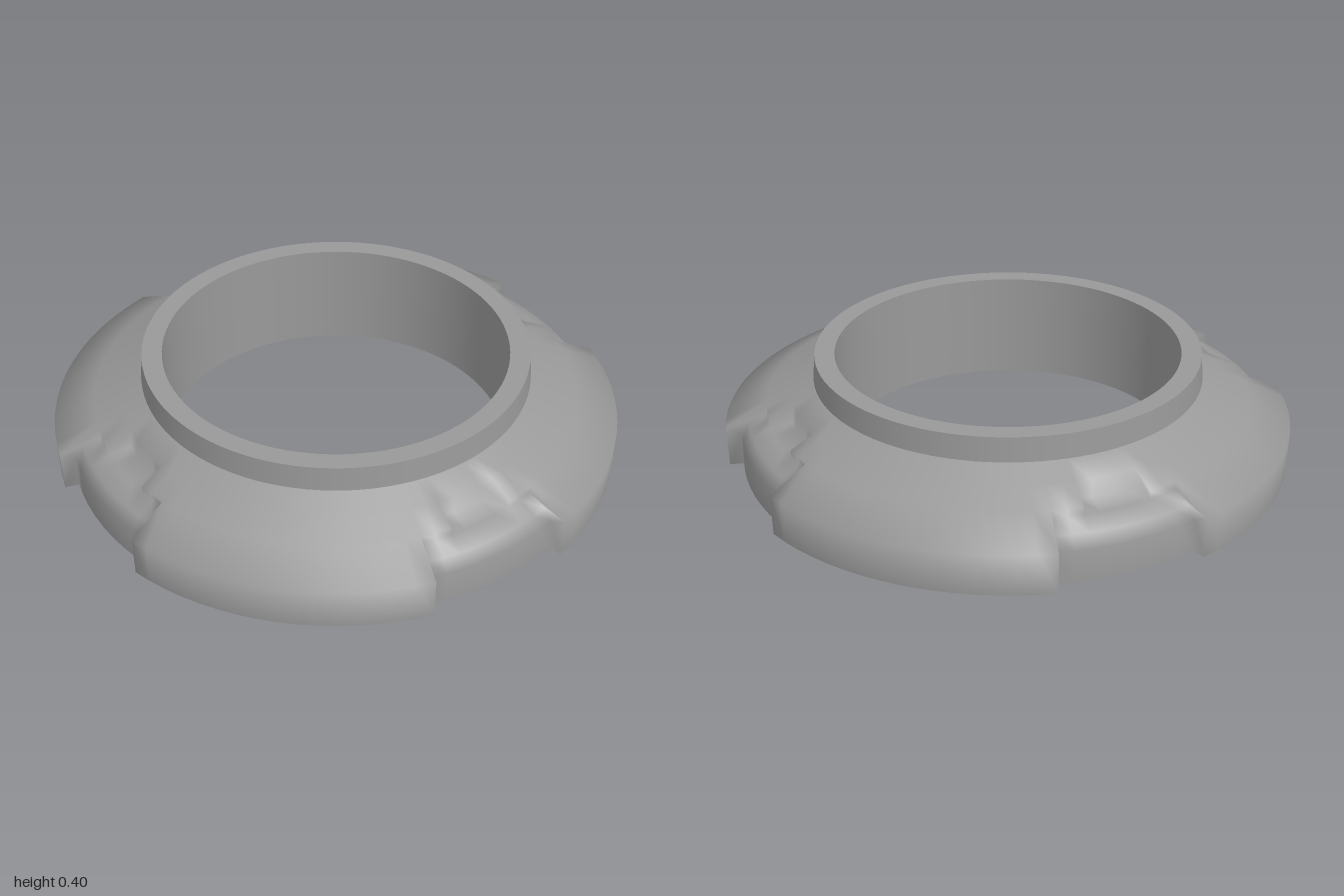
import * as THREE from 'three';
import { mergeGeometries, mergeVertices } from 'three/addons/utils/BufferGeometryUtils.js';

const material = new THREE.MeshStandardMaterial({ color: 0x999999, side: THREE.DoubleSide });
const RAD = Math.PI / 180;
const WIDE = 15.1 * RAD;   // half angle of the outer notch
const NARROW = 8 * RAD;    // half angle of the inner notch

// Cone that carries the skirt: height at a given radius
const onCone = (r) => [r, 0.31 - (r - 0.71) * 0.49];

// Profiles as [radius, height], from the collar outwards and down
const coneTop = [onCone(0.71), onCone(0.795)];
const skirt = [onCone(0.885), [1.036, 0.15], [1.031, 0]];
const floorInner = [onCone(0.795), [0.803, 0.205], [0.885, 0.195]];
const floorOuter = [[0.885, 0.195], [0.95, 0.165], [0.98, 0.12], [0.98, 0]];

// Revolved surface between two angles measured from the front
function sweep(profile, from = 0, to = Math.PI * 2) {
  const points = profile.map(([r, y]) => new THREE.Vector2(r, y)).reverse();
  const segments = Math.max(2, Math.round((to - from) / (3.75 * RAD)));
  return new THREE.LatheGeometry(points, segments, from, to - from);
}

// Flat radial wall at one side of the notch, facing into it
function wall(outline, halfAngle, side) {
  const shape = new THREE.Shape(outline.map(([r, y]) => new THREE.Vector2(r, y)));
  const geometry = new THREE.ShapeGeometry(shape);
  if (side < 0) geometry.index.array.reverse();
  return geometry.rotateY(side * halfAngle - Math.PI / 2);
}

// Four quarters, each a notch and a raised sector, welded into one smooth shell
function shellGeometry() {
  const parts = [];
  for (let i = 0; i < 4; i++) {
    const quarter = [
      sweep([...coneTop, ...skirt], WIDE, Math.PI / 2 - WIDE),
      sweep([coneTop[0], ...floorInner, ...floorOuter.slice(1)], -NARROW, NARROW),
    ];
    for (const side of [-1, 1]) {
      const [from, to] = side < 0 ? [-WIDE, -NARROW] : [NARROW, WIDE];
      quarter.push(
        sweep([...coneTop, onCone(0.885), ...floorOuter], from, to),
        wall([...floorInner, onCone(0.885)], NARROW, side),
        wall([...skirt, ...floorOuter.slice().reverse()], WIDE, side),
      );
    }
    parts.push(...quarter.map((geometry) => geometry.rotateY(i * Math.PI / 2)));
  }
  const merged = mergeGeometries(parts);
  merged.deleteAttribute('uv');
  merged.deleteAttribute('normal');
  const shell = mergeVertices(merged, 1e-3);
  shell.computeVertexNormals();
  return shell;
}

export function createModel() {
  const group = new THREE.Group();
  const add = (name, geometry) => {
    const mesh = new THREE.Mesh(geometry, material);
    mesh.name = name;
    group.add(mesh);
  };

  // Collar and bore
  add('collarTop', sweep([[0.63, 0.4], [0.703, 0.4]]));
  add('collarSide', sweep([[0.703, 0.4], [0.71, 0.31]]));
  add('innerTube', sweep([[0.63, 0], [0.63, 0.4]]));

  // Flared skirt with four stepped notches
  add('notchedSkirt', shellGeometry());
  return group;
}
